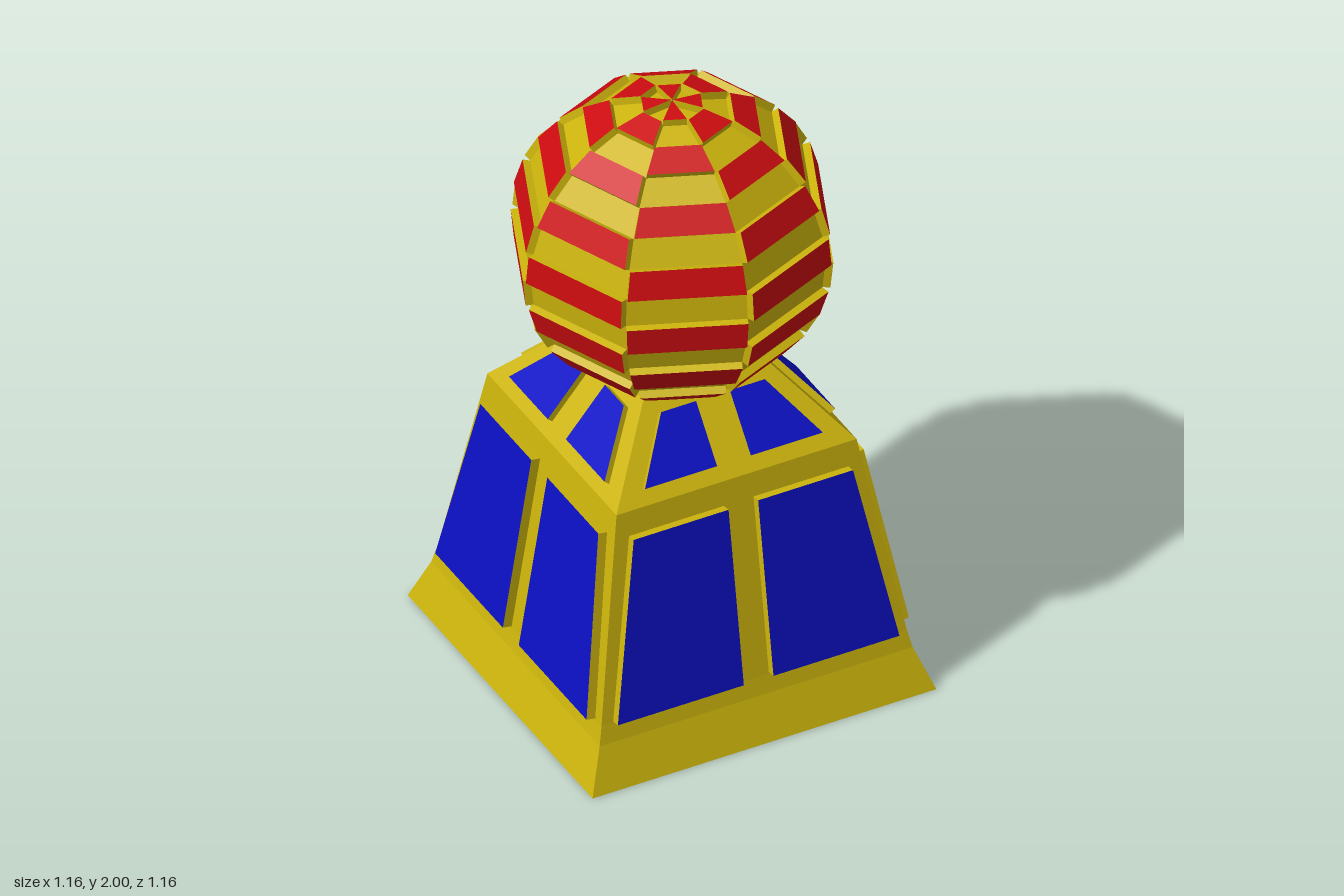
import * as THREE from 'three';

const material = (color) => new THREE.MeshStandardMaterial({ color, flatShading: true });
const yellow = material(0xccb40c);
const red = material(0xcc0c10);
const blue = material(0x0c10c4);

// Mesh from a list of four-cornered faces, corners counter-clockwise from outside
function quadMesh(quads, mat, name) {
  const points = quads.flatMap(([a, b, c, d]) => [a, b, c, a, c, d]);
  const geometry = new THREE.BufferGeometry().setFromPoints(points);
  geometry.computeVertexNormals();
  const mesh = new THREE.Mesh(geometry, mat);
  mesh.name = name;
  return mesh;
}

// Raised tiles: coloured faces lifted off the surface, with yellow rims
function raisedTiles(quads, depth, mat, name) {
  const faces = [], rims = [];
  for (const q of quads) {
    const normal = q[2].clone().sub(q[0]).cross(q[3].clone().sub(q[1])).normalize();
    const top = q.map((p) => p.clone().addScaledVector(normal, depth));
    faces.push(top);
    q.forEach((p, i) => {
      const j = (i + 1) % 4;
      rims.push([p, q[j], top[j], top[i]]);
    });
  }
  const group = new THREE.Group();
  group.name = name;
  group.add(quadMesh(faces, mat, name + 'Faces'), quadMesh(rims, yellow, name + 'Rims'));
  return group;
}

// Half width of the square body at a height
const lowerHalf = (y) => 0.515 - 0.164 * (y - 0.2);
const upperHalf = (y) => 0.405 - 0.85 * (y - 0.87);

// Mirrored pair of tapered panels on the +z side
function panelPair(half, y0, y1, inner, outer0, outer1) {
  const p = (x, y) => new THREE.Vector3(x, y, half(y));
  return [
    [p(inner, y0), p(outer0, y0), p(outer1, y1), p(inner, y1)],
    [p(-outer0, y0), p(-inner, y0), p(-inner, y1), p(-outer1, y1)],
  ];
}

export function createModel() {
  const model = new THREE.Group();
  model.name = 'domedTower';

  // Square body with flared foot and sloping shoulders
  const profile = [[0, 0], [0.58, 0], [0.528, 0.14], [lowerHalf(0.2), 0.2],
    [0.405, 0.87], [upperHalf(1.1), 1.1], [0, 1.1]];
  const bodyGeometry = new THREE.LatheGeometry(
    profile.map(([h, y]) => new THREE.Vector2(h * Math.SQRT2, y)), 4);
  bodyGeometry.rotateY(Math.PI / 4);
  const body = new THREE.Mesh(bodyGeometry, yellow);
  body.name = 'body';
  model.add(body);

  // Blue panels on all four sides
  for (let i = 0; i < 4; i++) {
    const side = new THREE.Group();
    side.name = 'sidePanels' + (i + 1);
    side.add(
      raisedTiles(panelPair(lowerHalf, 0.205, 0.79, 0.05, 0.475, 0.37), 0.03, blue, 'lowerPanels'),
      raisedTiles(panelPair(upperHalf, 0.907, 1.062, 0.057, 0.3, 0.175), 0.02, blue, 'upperPanels'));
    side.rotation.y = (i * Math.PI) / 2;
    model.add(side);
  }

  // Eight-sided ball with a checkerboard of raised red tiles
  const radius = 0.476, centerY = 1.5, rows = 16, columns = 8;
  const ball = new THREE.Mesh(new THREE.SphereGeometry(radius, columns, rows), yellow);
  ball.name = 'ball';
  ball.position.y = centerY;
  model.add(ball);

  const onBall = (row, column) => {
    const t = (row * Math.PI) / rows, a = (column * 2 * Math.PI) / columns;
    return new THREE.Vector3(Math.sin(t) * Math.cos(a), Math.cos(t), Math.sin(t) * Math.sin(a))
      .multiplyScalar(radius);
  };
  const tiles = [];
  for (let r = 0; r < rows; r++) {
    for (let c = r % 2; c < columns; c += 2) {
      tiles.push([onBall(r + 1, c + 1), onBall(r + 1, c), onBall(r, c), onBall(r, c + 1)]);
    }
  }
  const ballTiles = raisedTiles(tiles, 0.024, red, 'ballTiles');
  ballTiles.position.y = centerY;
  model.add(ballTiles);

  return model;
}
